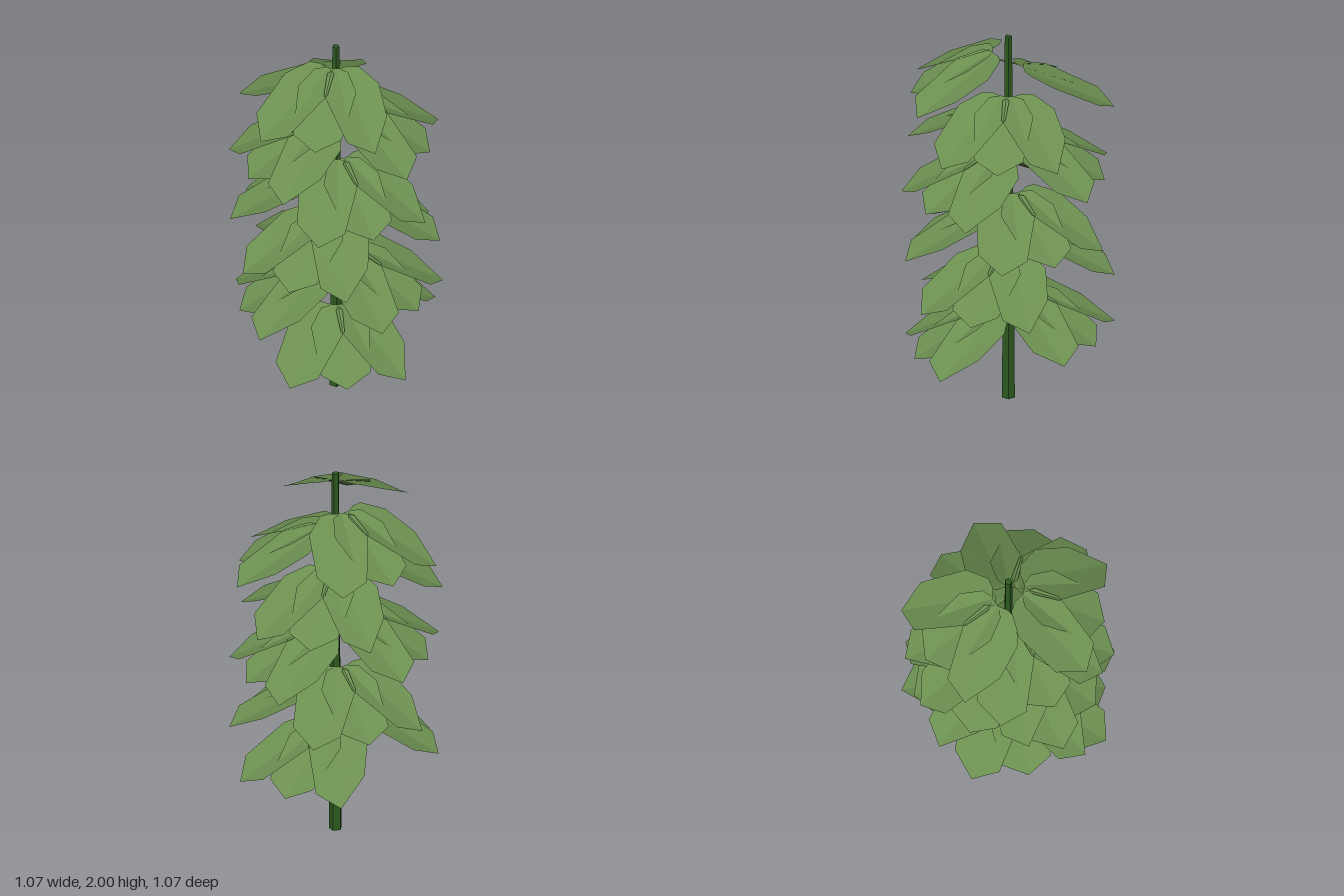
import * as THREE from 'three';

const LEAF_COUNT = 14;
const TURN = THREE.MathUtils.degToRad(137); // spiral step between leaves
const FIRST_Y = 0.517;
const STEP_Y = 1.4 / 13;
const START = 0.08;                         // gap between stem axis and leaflets

// Half outline of a leaflet: [across, along, rise above the midrib].
// "corner" is how far along the blunt tip begins.
const halfOutline = (corner) => [
  [0.035, 0.078, 0.002], [0.085, 0.1, 0.012], [0.148, 0.21, 0.022],
  [0.124, corner, 0.02], [0, 0.535, 0],
];

// One leaflet with a low midrib and raised edges, drooping outward along +z
function leafletGeometry(length, droop, leftCorner, rightCorner) {
  const place = (across, along, rise) => {
    const out = (along - START) * length;
    return [across, rise - droop * out, START + out];
  };
  const pos = [];
  for (const [side, corner] of [[1, leftCorner], [-1, rightCorner]]) {
    const edge = halfOutline(corner);
    for (let i = 0; i < edge.length - 1; i++) {
      const [s0, t0, h0] = edge[i];
      const [s1, t1, h1] = edge[i + 1];
      const e0 = place(side * s0, t0, h0);
      const e1 = place(side * s1, t1, h1);
      const r0 = place(0, t0, 0);
      const r1 = place(0, t1, 0);
      for (const [a, b, c] of [[r0, r1, e0], [e0, r1, e1]]) {
        // keep the upper side as the front
        pos.push(...(side > 0 ? [...a, ...b, ...c] : [...a, ...c, ...b]));
      }
    }
  }
  const g = new THREE.BufferGeometry();
  g.setAttribute('position', new THREE.Float32BufferAttribute(pos, 3));
  g.computeVertexNormals();
  return g;
}

export function createModel() {
  const model = new THREE.Group();
  model.name = 'plant';

  const leafGreen = new THREE.MeshStandardMaterial({ color: 0x6b8f50, flatShading: true, side: THREE.DoubleSide });
  leafGreen.name = 'leaf green';
  const stemGreen = new THREE.MeshStandardMaterial({ color: 0x2d5a1f, flatShading: true });
  stemGreen.name = 'stem green';

  // Tapered five-sided stem
  const stem = new THREE.Mesh(new THREE.CylinderGeometry(0.019, 0.034, 2, 5), stemGreen);
  stem.name = 'stem';
  stem.position.y = 1;
  model.add(stem);

  // Each leaf has two long side leaflets and a shorter, steeper middle one
  const leaflets = [
    ['rightLeaflet', leafletGeometry(1, 0.522, 0.47, 0.44), -32],
    ['middleLeaflet', leafletGeometry(0.9, 0.59, 0.47, 0.47), 0],
    ['leftLeaflet', leafletGeometry(1, 0.522, 0.38, 0.47), 34],
  ];

  // Leaves spiral up the stem
  for (let i = 0; i < LEAF_COUNT; i++) {
    const leaf = new THREE.Group();
    leaf.name = `leaf${i + 1}`;
    leaf.position.y = FIRST_Y + i * STEP_Y;
    leaf.rotation.y = i * TURN;
    for (const [name, geometry, yaw] of leaflets) {
      const mesh = new THREE.Mesh(geometry, leafGreen);
      mesh.name = name;
      mesh.rotation.y = THREE.MathUtils.degToRad(yaw);
      leaf.add(mesh);
    }
    model.add(leaf);
  }
  return model;
}
